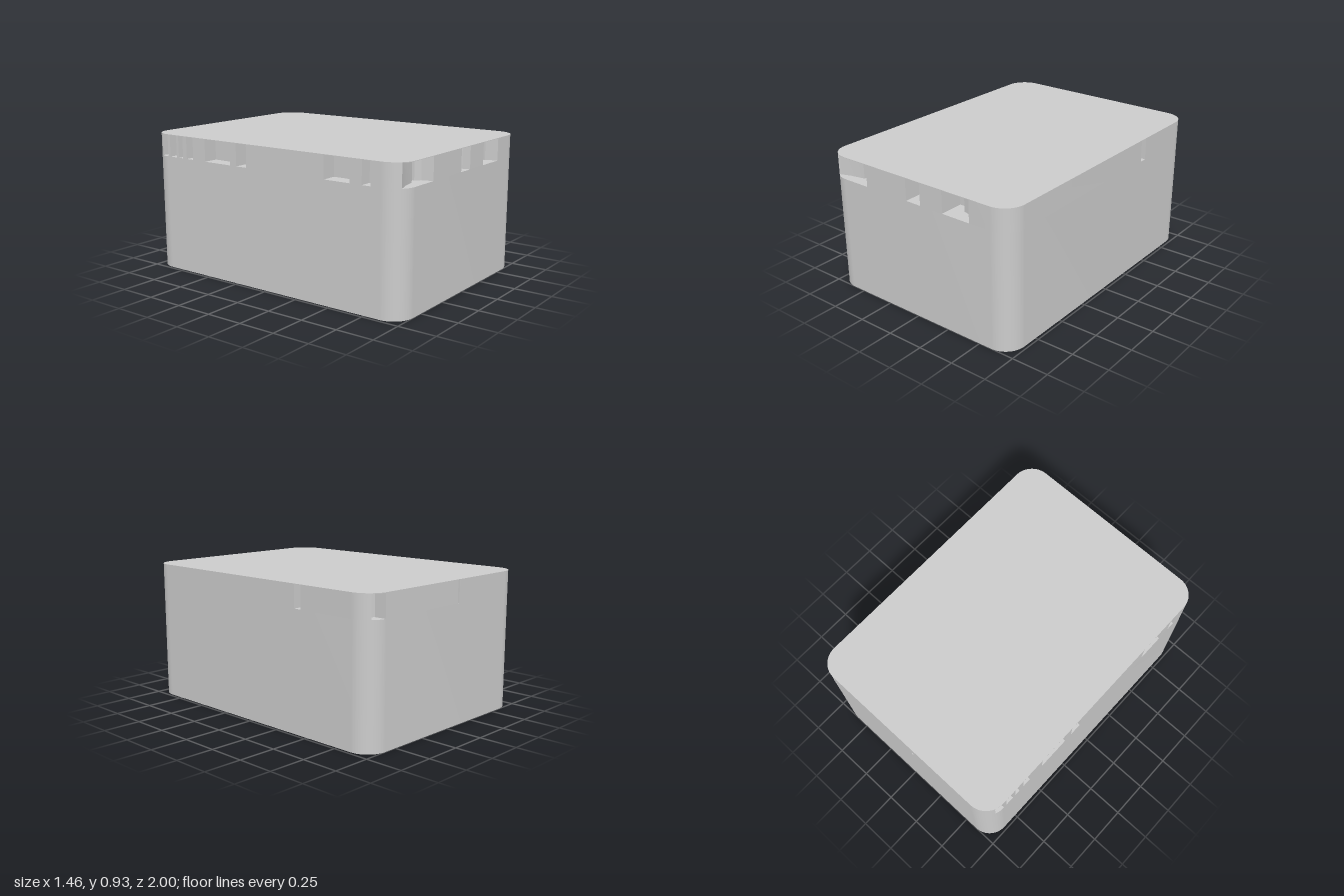
import * as THREE from 'three';
import { toCreasedNormals } from 'three/addons/utils/BufferGeometryUtils.js';

const W = 0.73, D = 1, R = 0.14, TOP = 0.93, FLOOR = 0.78, LID = 0.003;
const material = new THREE.MeshStandardMaterial({ color: 0xcccccc });

// Corner arc, in degrees; the plan is drawn as (x, z)
function corner(shape, sx, sz, from, to) {
  const rad = Math.PI / 180;
  shape.absarc(sx * (W - R), sz * (D - R), R, from * rad, to * rad, false);
}

// Square notch from a to b, cut to the inside of the outline
function notch(shape, a, b, depth) {
  const dx = b[0] - a[0], dz = b[1] - a[1], len = Math.hypot(dx, dz);
  const nx = (-dz / len) * depth, nz = (dx / len) * depth;
  path(shape, [a, [a[0] + nx, a[1] + nz], [b[0] + nx, b[1] + nz], b]);
}

function path(shape, points) {
  points.forEach(([x, z]) => shape.lineTo(x, z));
}

function plainPlan() {
  const s = new THREE.Shape();
  corner(s, 1, 1, 0, 90);
  corner(s, -1, 1, 90, 180);
  corner(s, -1, -1, 180, 270);
  corner(s, 1, -1, 270, 360);
  s.closePath();
  return s;
}

function notchedPlan() {
  const s = new THREE.Shape();
  corner(s, 1, 1, 0, 90);
  // front openings, with stepped inner walls
  path(s, [[0.44, 1], [0.42, 0.92], [0.32, 0.9], [0.27, 0.84], [0.235, 0.84], [0.235, 1]]);
  path(s, [[0.06, 1], [0.05, 0.95], [0.02, 0.91], [-0.02, 0.89], [-0.055, 0.885], [-0.055, 1]]);
  path(s, [[-0.39, 1], [-0.41, 0.93], [-0.44, 0.9], [-0.45, 0.78], [-0.49, 0.78], [-0.5, 0.92], [-0.6, 0.94]]);
  corner(s, -1, 1, 130, 180);
  // row of openings along one long side: [start z, end z, depth]
  [[0.79, 0.73, 0.08], [0.645, 0.46, 0.1], [-0.15, -0.236, 0.1], [-0.29, -0.51, 0.1],
    [-0.62, -0.68, 0.08], [-0.715, -0.755, 0.08], [-0.775, -0.835, 0.08]]
    .forEach(([a, b, depth]) => notch(s, [-W, a], [-W, b], depth));
  // rounded-corner opening at the back
  path(s, [[-W, -0.857], [-0.65, -0.857], [-0.65, -0.919]]);
  corner(s, -1, -1, 205, 270);
  // thin slit in the back
  notch(s, [-0.095, -D], [-0.078, -D], 0.06);
  corner(s, 1, -1, 270, 274);
  path(s, [[0.6, -0.92], [0.65, -0.9]]);
  corner(s, 1, -1, 311, 360);
  // slot in the other long side
  notch(s, [W, -0.455], [W, -0.4], 0.06);
  s.closePath();
  return s;
}

// Slab of the given plan between two heights
function slab(name, shape, bottom, top) {
  const g = new THREE.ExtrudeGeometry(shape, { depth: top - bottom, bevelEnabled: false, curveSegments: 16 });
  g.rotateX(Math.PI / 2);
  g.translate(0, top, 0);
  const mesh = new THREE.Mesh(toCreasedNormals(g, 0.4), material);
  mesh.name = name;
  return mesh;
}

export function createModel() {
  const group = new THREE.Group();
  group.name = 'notchedBox';
  group.add(
    slab('body', plainPlan(), 0, FLOOR),
    slab('notchedRim', notchedPlan(), FLOOR, TOP - LID),
    slab('lid', plainPlan(), TOP - LID, TOP),
  );
  return group;
}
